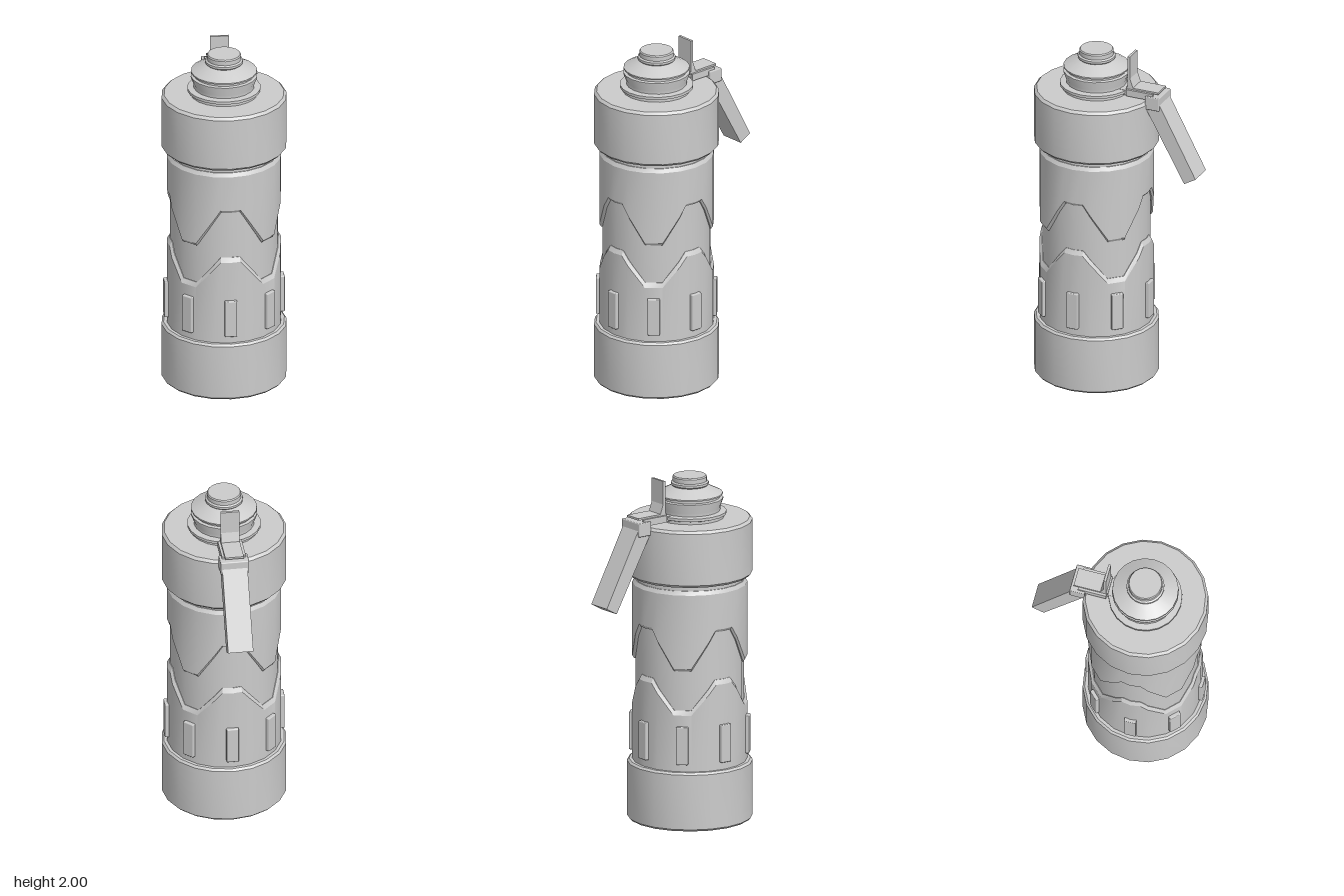
import * as THREE from 'three';
import { toCreasedNormals } from 'three/addons/utils/BufferGeometryUtils.js';
import { RoundedBoxGeometry } from 'three/addons/geometries/RoundedBoxGeometry.js';

const SIDES = 20;
const AXIS_Z = 0.145;
const CREASE = 0.5;
const material = new THREE.MeshStandardMaterial({ color: 0xcccccc });

function add(parent, name, geometry, x = 0, y = 0, z = 0) {
  const mesh = new THREE.Mesh(geometry, material);
  mesh.name = name;
  mesh.position.set(x, y, z);
  parent.add(mesh);
  return mesh;
}

// Turned part from [radius, height] pairs, bottom to top
function turned(profile) {
  const points = profile.map(([r, y]) => new THREE.Vector2(r, y));
  return toCreasedNormals(new THREE.LatheGeometry(points, SIDES), CREASE);
}

// Closed drum with small bevels
function drum(r, y0, y1, b) {
  return turned([[0, y0], [r - b, y0], [r, y0 + b], [r, y1 - b], [r - b, y1], [0, y1]]);
}

// Height of the zigzag edge at an angle: four flat peaks and four flat valleys
function zigzag(deg, valley, peak) {
  const d = Math.abs(((deg + 45) % 90) - 45);
  const t = THREE.MathUtils.clamp((d - 10) / 26, 0, 1);
  return THREE.MathUtils.lerp(peak, valley, t);
}

// Sleeve whose rings are [radius, height function of angle]
function sleeve(rings) {
  const angles = [];
  for (let a = 0; a <= 360; a += 18) angles.push(a);
  for (let a = 0; a < 360; a += 90) angles.push(a + 10, a + 80);
  angles.sort((a, b) => a - b);
  const positions = [];
  const index = [];
  const n = angles.length;
  rings.forEach(([radius, height], j) => {
    angles.forEach((deg, i) => {
      const a = THREE.MathUtils.degToRad(deg);
      const off = THREE.MathUtils.degToRad((deg % 18) - 9);
      const r = radius * Math.cos(Math.PI / SIDES) / Math.cos(off);
      positions.push(r * Math.sin(a), height(deg), r * Math.cos(a));
      if (j && i) {
        const d = j * n + i - 1, c = d + 1, p = d - n, q = c - n;
        index.push(p, q, c, p, c, d);
      }
    });
  });
  const geometry = new THREE.BufferGeometry();
  geometry.setAttribute('position', new THREE.Float32BufferAttribute(positions, 3));
  geometry.setIndex(index);
  return toCreasedNormals(geometry, CREASE);
}

// Side outline of [z, y] pairs extruded across x
function sideExtrude(outline, width) {
  const shape = new THREE.Shape(outline.map(([z, y]) => new THREE.Vector2(-z, y)));
  const geometry = new THREE.ExtrudeGeometry(shape, { depth: width, bevelEnabled: false });
  geometry.translate(0, 0, -width / 2);
  geometry.rotateY(Math.PI / 2);
  return geometry;
}

export function createModel() {
  const model = new THREE.Group();
  model.name = 'canister';

  // Cylindrical body
  const body = new THREE.Group();
  body.name = 'body';
  body.position.z = AXIS_Z;
  model.add(body);
  add(body, 'base', drum(0.355, 0, 0.342, 0.012));
  add(body, 'core', drum(0.307, 0.3, 1.45, 0.005));
  add(body, 'topCollar', drum(0.355, 1.42, 1.75, 0.015));

  // Zigzag sleeves
  const flat = y => () => y;
  const upper = offset => deg => zigzag(deg, 0.925, 1.145) + offset;
  const lower = offset => deg => zigzag(deg, 0.695, 0.865) + offset;
  add(body, 'upperSleeve', sleeve([
    [0.295, upper(0)], [0.314, upper(0)], [0.325, upper(0.016)],
    [0.325, flat(1.37)], [0.312, flat(1.392)], [0.295, flat(1.392)],
  ]));
  add(body, 'lowerSleeve', sleeve([
    [0.295, flat(0.33)], [0.325, flat(0.33)], [0.325, lower(-0.026)],
    [0.31, lower(0)], [0.295, lower(0)],
  ]));

  // Raised pads around the lower sleeve
  for (let i = 0; i < 8; i++) {
    const a = i * Math.PI / 4;
    const pad = add(body, 'gripPad', new RoundedBoxGeometry(0.07, 0.22, 0.06, 1, 0.006),
      0.312 * Math.sin(a), 0.495, 0.312 * Math.cos(a));
    pad.rotation.y = a;
  }

  // Stepped fuse head
  add(body, 'fuseHead', turned([
    [0, 1.74], [0.193, 1.74], [0.193, 1.765], [0.208, 1.77], [0.208, 1.786],
    [0.172, 1.79], [0.172, 1.808], [0.189, 1.855], [0.189, 1.862], [0.172, 1.866],
    [0.172, 1.878], [0.187, 1.882], [0.187, 1.89], [0.115, 1.925], [0.098, 1.932],
    [0.107, 1.94], [0.107, 1.953], [0.097, 1.96], [0.097, 1.985], [0.092, 1.992], [0, 1.992],
  ]));

  // Safety lever behind the head
  const lever = new THREE.Group();
  lever.name = 'lever';
  model.add(lever);
  add(lever, 'mountStrip', new THREE.BoxGeometry(0.106, 0.03, 0.19), 0, 1.775, -0.085);
  add(lever, 'topPlate', new THREE.BoxGeometry(0.106, 0.012, 0.2), 0, 1.805, -0.16);
  add(lever, 'uprightTab', sideExtrude(
    [[-0.07, 1.8], [-0.07, 2], [-0.085, 2], [-0.085, 1.865], [-0.108, 1.8]], 0.106));
  for (const side of [-1, 1]) {
    add(lever, 'sideRail', new THREE.BoxGeometry(0.014, 0.04, 0.165), side * 0.061, 1.782, -0.15);
  }
  add(lever, 'hingeBlock', new RoundedBoxGeometry(0.164, 0.08, 0.088, 1, 0.006), 0, 1.748, -0.233);
  add(lever, 'leverArm', sideExtrude(
    [[-0.19, 1.714], [-0.27, 1.757], [-0.5, 1.325], [-0.43, 1.285]], 0.144));

  return model;
}
